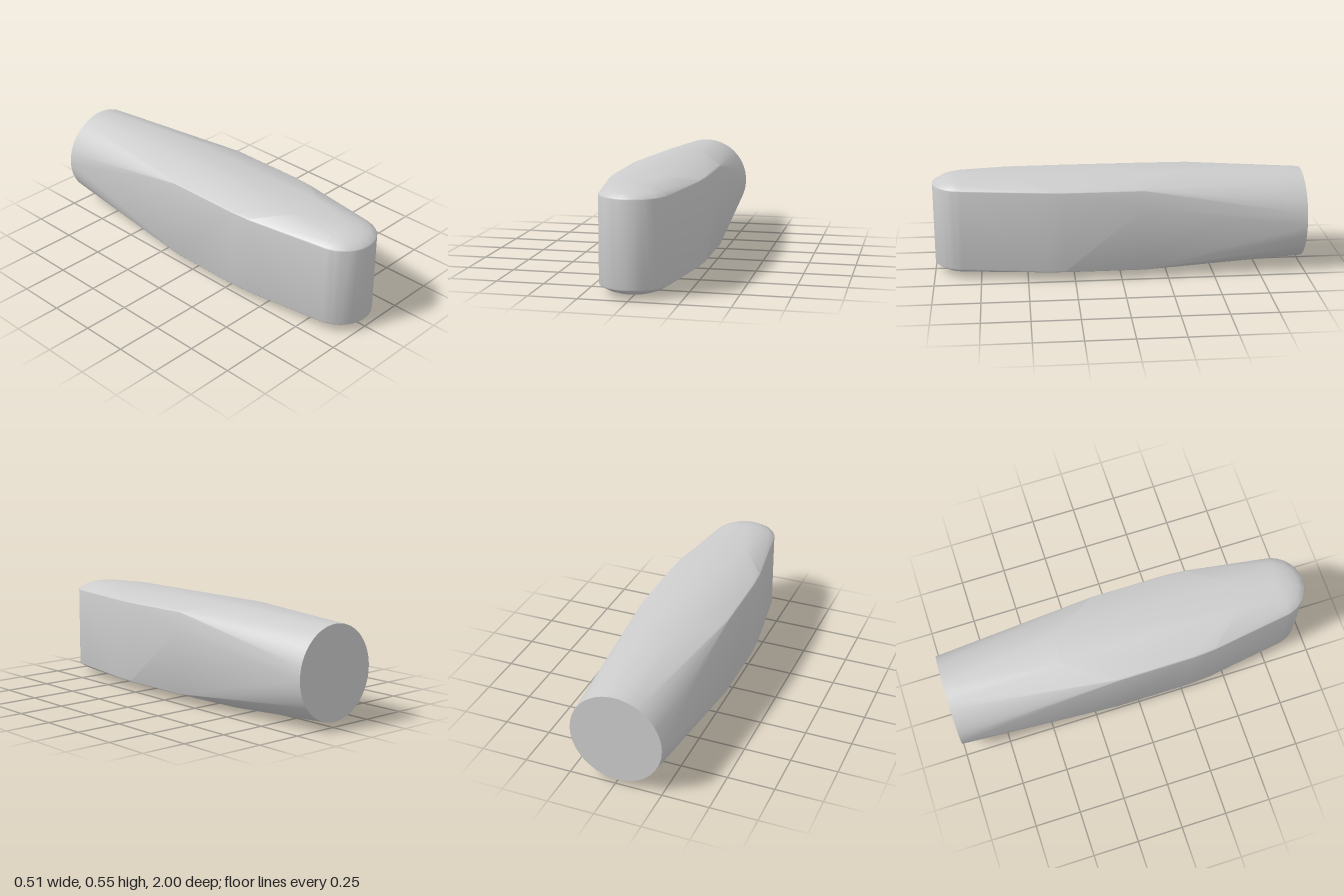
import * as THREE from 'three';
import { ConvexGeometry } from 'three/addons/geometries/ConvexGeometry.js';
import { toCreasedNormals } from 'three/addons/utils/BufferGeometryUtils.js';

const CX = -0.008, CY = 0.2725;

// softened shoulder edge: [inset from the side, height above the middle]
const EDGE = [[0, 0.217], [0.0008, 0.2205], [0.003, 0.2235], [0.0065, 0.2255]];

export function createModel() {
  const group = new THREE.Group();
  group.name = 'taperedBlock';
  const grey = new THREE.MeshStandardMaterial({ color: 0xcccccc });
  grey.name = 'lightGrey';

  const points = [];
  // adds a point mirrored above and below the mid height
  const addPair = (x, h, z) => {
    points.push(new THREE.Vector3(x, CY + h, z), new THREE.Vector3(x, CY - h, z));
  };

  // round back end
  for (let i = 0; i < 72; i++) {
    const a = (i / 72) * Math.PI * 2;
    points.push(new THREE.Vector3(CX + 0.246 * Math.cos(a), CY + 0.246 * Math.sin(a), -1));
  }

  // flat top and bottom strips
  for (const z of [0.6, -0.38]) {
    for (const s of [-1, 1]) addPair(CX + s * 0.085, 0.2725, z);
  }

  // shoulders along the flat sides
  for (const [z, w] of [[-0.12, 0.248], [0.3, 0.248], [0.42, 0.239]]) {
    for (const s of [-1, 1]) {
      for (const [inset, h] of EDGE) addPair(CX + s * (w - inset), h, z);
    }
  }

  // slight swelling on the left side
  points.push(new THREE.Vector3(0.255, 0.4, -0.12));

  // rounded nose, doming inwards above and below its upright wall
  const rings = EDGE.map(([inset, h]) => [0.175 - inset, h]);
  rings.push([0.14, 0.243], [0.1, 0.257], [0.05, 0.266], [0.015, 0.2685]);
  for (const [r, h] of rings) {
    for (let i = 0; i <= 24; i++) {
      const a = (i / 24) * Math.PI;
      addPair(CX + r * Math.cos(a), h, 0.825 + r * Math.sin(a));
    }
  }

  const body = new THREE.Mesh(toCreasedNormals(new ConvexGeometry(points), 0.6), grey);
  body.name = 'body';
  group.add(body);
  return group;
}
